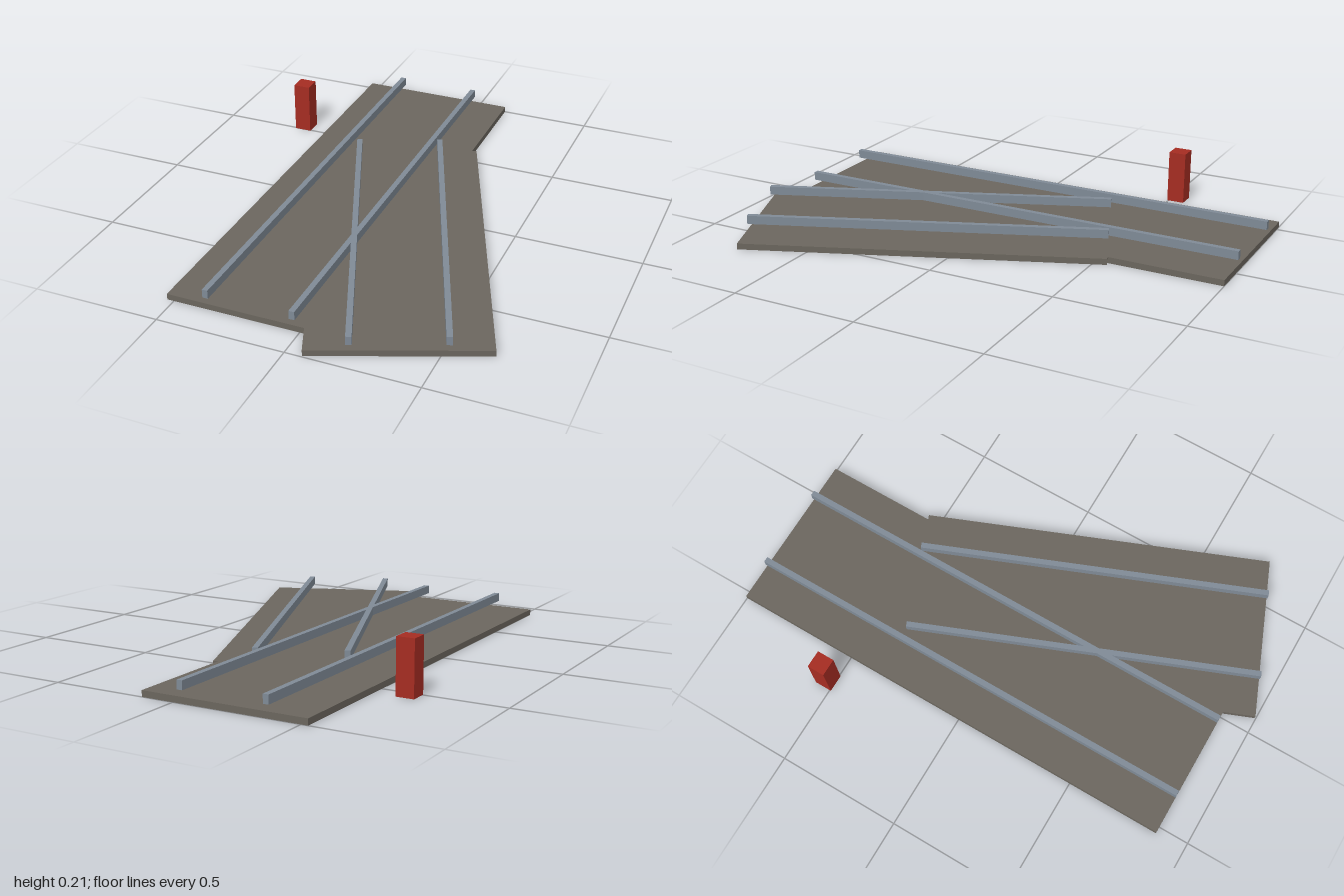
import * as THREE from 'three';

export function createModel() {
  const model = new THREE.Group();
  const material = (name, color) => {
    const m = new THREE.MeshStandardMaterial({ color });
    m.name = name;
    return m;
  };
  const gravel = material('gravel', 0x6b665e);
  const steel = material('steel', 0x7f8a96);
  const red = material('red', 0xa52c22);

  const addBox = (parent, name, mat, size, position) => {
    const mesh = new THREE.Mesh(new THREE.BoxGeometry(...size), mat);
    mesh.name = name;
    mesh.position.set(...position);
    parent.add(mesh);
  };

  // One straight track: a gravel bed with two rails held just above it
  const addTrack = (name, x, z, length, angle) => {
    const track = new THREE.Group();
    track.name = name;
    track.position.set(x, 0, z);
    track.rotation.y = angle;
    addBox(track, 'bed', gravel, [0.656, 0.024, length], [0, 0.012, 0]);
    for (const side of [-1, 1]) {
      addBox(track, side < 0 ? 'rightRail' : 'leftRail', steel,
        [0.022, 0.034, length], [side * 0.17, 0.064, 0]);
    }
    model.add(track);
  };

  addTrack('mainTrack', -0.199, -0.061, 1.878, 0);
  addTrack('branchTrack', 0.106, 0.221, 1.405, THREE.MathUtils.degToRad(22));

  // Switch post beside the main track
  addBox(model, 'switchPost', red, [0.07, 0.211, 0.07], [-0.647, 0.1055, -0.53]);

  return model;
}
